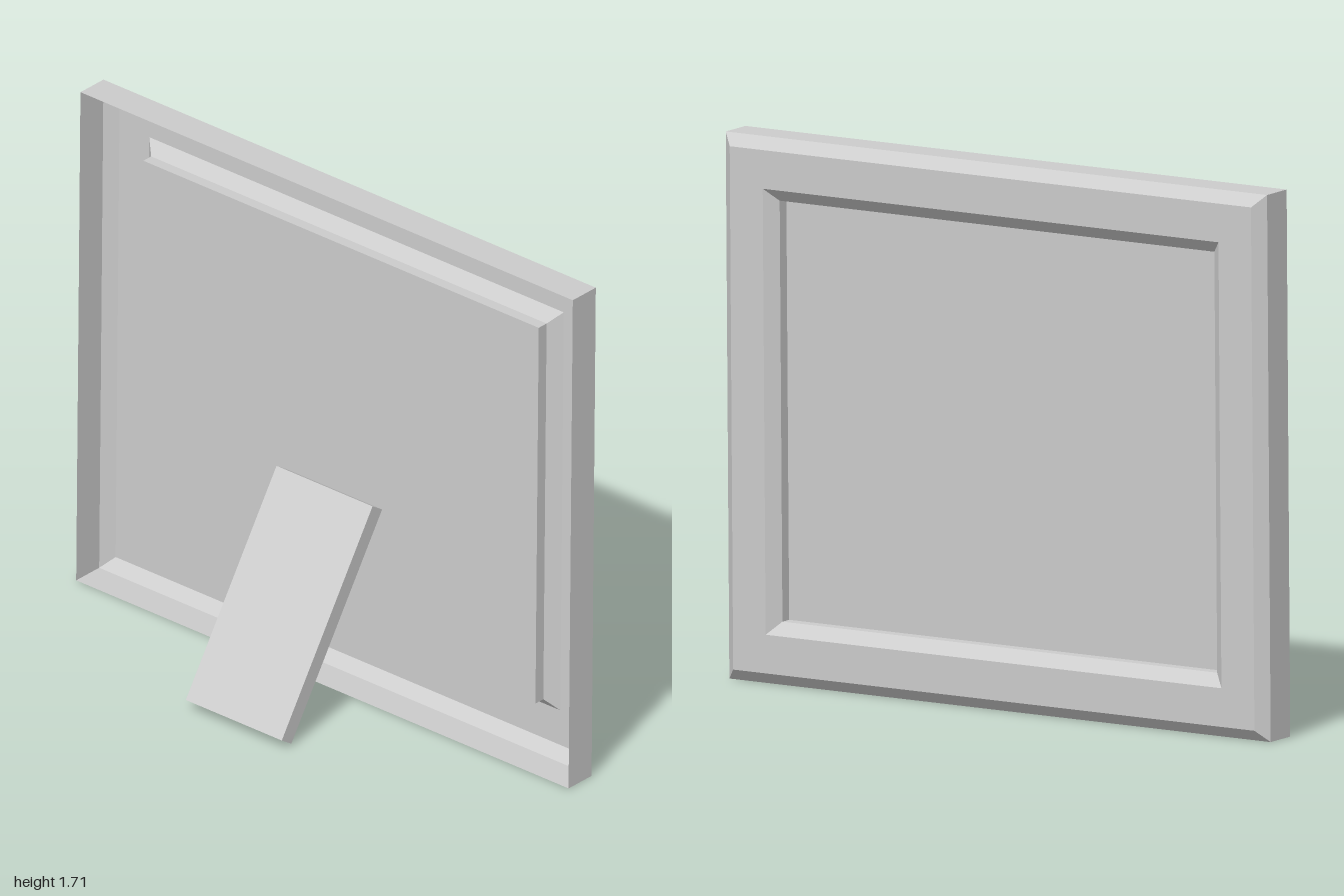
import * as THREE from 'three';

const HALF_Z = 1, HEIGHT = 1.71;
const material = new THREE.MeshStandardMaterial({ color: 0xcccccc, flatShading: true, side: THREE.DoubleSide });

// Rectangle corners in the frame's plane, inset from its outline, at depth x
function ring(inset, x) {
  const z = HALF_Z - inset, lo = inset, hi = HEIGHT - inset;
  return [[x, lo, z], [x, lo, -z], [x, hi, -z], [x, hi, z]];
}

// Thin mitred moulding: joins consecutive rectangles of an [inset, x] profile
function mouldingGeometry(profile) {
  const pos = [];
  for (let i = 0; i < profile.length - 1; i++) {
    const a = ring(...profile[i]), b = ring(...profile[i + 1]);
    for (let k = 0; k < 4; k++) {
      const n = (k + 1) % 4;
      pos.push(...a[k], ...a[n], ...b[n], ...a[k], ...b[n], ...b[k]);
    }
  }
  const geo = new THREE.BufferGeometry();
  geo.setAttribute('position', new THREE.Float32BufferAttribute(pos, 3));
  geo.computeVertexNormals();
  return geo;
}

function addMesh(parent, name, geometry) {
  const mesh = new THREE.Mesh(geometry, material);
  mesh.name = name;
  parent.add(mesh);
  return mesh;
}

export function createModel() {
  const model = new THREE.Group();
  model.name = 'pictureFrame';

  // Frame and picture, leaning very slightly forward
  const front = new THREE.Group();
  front.name = 'frameAssembly';
  front.position.set(0.119, 0.002, 0);
  front.rotation.z = -0.0117;
  model.add(front);

  // Side wall, outer chamfer, face, inner bevel and inner lip
  const inner = 0.197, panelX = 0.07;
  addMesh(front, 'frameMoulding', mouldingGeometry([
    [0, 0], [0, 0.108], [0.037, 0.142], [0.158, 0.142], [inner, 0.107], [inner, panelX],
  ]));

  // Picture panel at the back of the lip
  const panel = addMesh(front, 'picturePanel',
    new THREE.PlaneGeometry(2 * (HALF_Z - inner), HEIGHT - 2 * inner));
  panel.rotation.y = Math.PI / 2;
  panel.position.set(panelX, HEIGHT / 2, 0);

  // Sloping support leg, from the ground to the back of the panel
  const foot = new THREE.Vector2(-0.257, 0.024), top = new THREE.Vector2(0.169, 0.668);
  const along = top.clone().sub(foot);
  const leg = addMesh(model, 'supportLeg', new THREE.BoxGeometry(along.length(), 0.054, 0.39));
  leg.position.set((foot.x + top.x) / 2, (foot.y + top.y) / 2, -0.015);
  leg.rotation.z = along.angle();

  return model;
}
